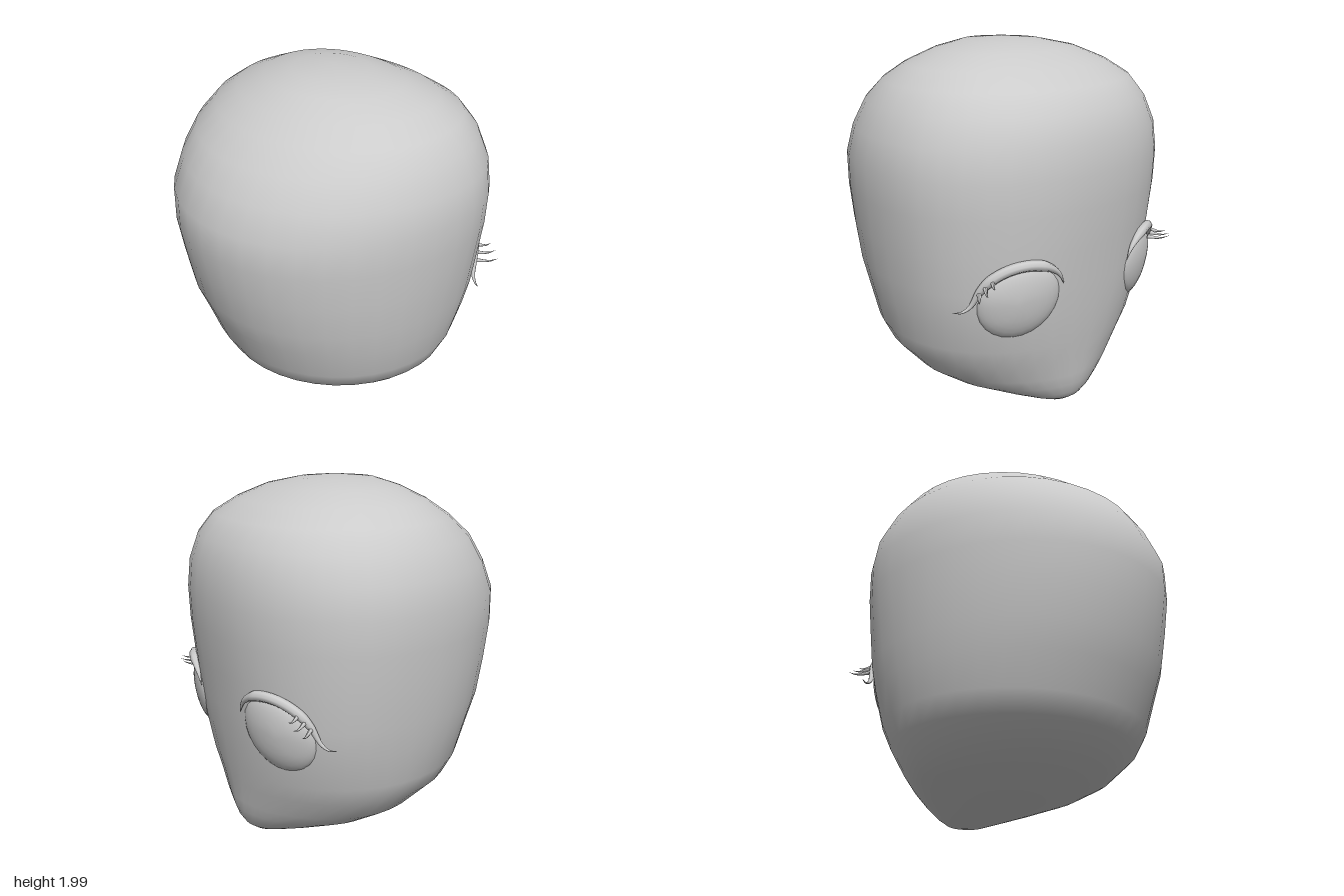
import * as THREE from 'three';

const grey = new THREE.MeshStandardMaterial({ color: 0xcccccc });
const greyDouble = new THREE.MeshStandardMaterial({ color: 0xcccccc, side: THREE.DoubleSide });

// Head cross-sections: height, half width, +z end, -z end (face), z of widest point, face roundness
const SECTIONS = [
  [0.01, 0, -0.53, -0.53, -0.53, 2], [0.025, 0.11, -0.42, -0.62, -0.52, 2],
  [0.055, 0.2, -0.25, -0.66, -0.46, 1.9], [0.1, 0.33, 0, -0.69, -0.37, 1.8],
  [0.16, 0.49, 0.22, -0.71, -0.25, 1.75], [0.23, 0.6, 0.41, -0.725, -0.17, 1.8],
  [0.35, 0.7, 0.58, -0.74, -0.12, 1.95], [0.46, 0.75, 0.64, -0.76, -0.1, 2.1],
  [0.65, 0.79, 0.71, -0.785, -0.1, 2.25], [0.8, 0.82, 0.77, -0.80, -0.1, 2.3],
  [1.0, 0.845, 0.81, -0.82, -0.11, 2.25], [1.2, 0.865, 0.845, -0.84, -0.13, 2.2],
  [1.38, 0.87, 0.84, -0.845, -0.13, 2.2], [1.54, 0.845, 0.765, -0.83, -0.13, 2.2],
  [1.68, 0.78, 0.675, -0.785, -0.12, 2.2], [1.79, 0.7, 0.54, -0.7, -0.11, 2.2],
  [1.87, 0.58, 0.42, -0.57, -0.1, 2.2], [1.94, 0.41, 0.28, -0.41, -0.09, 2.2],
  [1.98, 0.22, 0.16, -0.26, -0.07, 2], [2.0, 0, -0.06, -0.06, -0.06, 2],
];

function sectionAt(y) {
  let i = 0;
  while (i < SECTIONS.length - 2 && SECTIONS[i + 1][0] < y) i++;
  const a = SECTIONS[i], b = SECTIONS[i + 1];
  const t = (y - a[0]) / (b[0] - a[0]);
  return a.map((v, k) => v + (b[k] - v) * t);
}

// Point on the head; angle 0 is the middle of the face, positive towards +x
function headPoint(angle, y, lift = 0, section = sectionAt(y)) {
  const [, w, zFront, zBack, zMid, n] = section;
  const s = Math.sin(angle), c = Math.cos(angle);
  const e = c > 0 ? 2 / n : 1;
  const x = w * Math.sign(s) * Math.abs(s) ** e;
  const z = c > 0 ? zMid + (zBack - zMid) * c ** e : zMid + (zFront - zMid) * -c;
  return new THREE.Vector3(x + s * lift, y, z - c * lift);
}

function loftHead() {
  const N = 40, pos = [], idx = [], last = SECTIONS.length - 1;
  SECTIONS.forEach((sec) => {
    for (let j = 0; j < N; j++) pos.push(...headPoint((j / N) * Math.PI * 2, sec[0], 0, sec).toArray());
  });
  // each end row shares a single pole vertex
  const id = (i, j) => i * N + (i === 0 || i === last ? 0 : j % N);
  for (let i = 0; i < last; i++) {
    for (let j = 0; j < N; j++) {
      const a = id(i, j), b = id(i, j + 1), c = id(i + 1, j + 1), d = id(i + 1, j);
      if (i > 0) idx.push(a, d, b);
      if (i < last - 1) idx.push(b, d, c);
      if (i === 0) idx.push(a, d, c);
      if (i === last - 1) idx.push(a, d, b);
    }
  }
  return buildGeometry(pos, idx);
}

function buildGeometry(pos, idx) {
  const g = new THREE.BufferGeometry();
  g.setAttribute('position', new THREE.Float32BufferAttribute(pos, 3));
  g.setIndex(idx);
  g.computeVertexNormals();
  return g;
}

// Eye outline wrapped on the face; the top leans towards the middle
function eyePoint(phi, r, lift) {
  const dy = 0.2 * r * Math.sin(phi);
  return headPoint(0.57 + 0.3 * r * Math.cos(phi) - 0.3 * dy, 0.755 + dy, lift);
}

function eyeDome() {
  const N = 24, R = 7, pos = eyePoint(0, 0, 0.04).toArray(), idx = [];
  for (let i = 1; i <= R; i++) {
    const r = Math.sin((i / R) * Math.PI / 2);
    for (let j = 0; j < N; j++) {
      pos.push(...eyePoint((j / N) * Math.PI * 2, r, -0.012 + 0.052 * Math.sqrt(Math.max(0, 1 - r * r))).toArray());
    }
  }
  const id = (i, j) => (i === 0 ? 0 : 1 + (i - 1) * N + (j % N));
  for (let i = 0; i < R; i++) {
    for (let j = 0; j < N; j++) {
      idx.push(id(i, j), id(i + 1, j + 1), id(i + 1, j));
      if (i > 0) idx.push(id(i, j), id(i, j + 1), id(i + 1, j + 1));
    }
  }
  return buildGeometry(pos, idx);
}

// Tube whose radius follows a rule along its length
function taperedTube(points, radius, segments, scaleAt) {
  const curve = new THREE.CatmullRomCurve3(points);
  const g = new THREE.TubeGeometry(curve, segments, radius, 8);
  const p = g.attributes.position, v = new THREE.Vector3();
  for (let i = 0; i <= segments; i++) {
    const centre = curve.getPointAt(i / segments), k = scaleAt(i / segments);
    for (let j = 0; j <= 8; j++) {
      v.fromBufferAttribute(p, i * 9 + j).sub(centre).multiplyScalar(k).add(centre);
      p.setXYZ(i * 9 + j, v.x, v.y, v.z);
    }
  }
  g.computeVertexNormals();
  return g;
}

function named(name, geometry, material = greyDouble) {
  const m = new THREE.Mesh(geometry, material);
  m.name = name;
  return m;
}

function createEye() {
  const eye = new THREE.Group();
  eye.add(named('eyeball', eyeDome()));

  // Upper lid follows the outline, then sweeps out into a wing
  const path = [];
  for (let k = 0; k <= 8; k++) path.push(eyePoint(2.75 - k * 0.29, 1.06, 0.012));
  path.push(headPoint(0.91, 0.755, 0.025), headPoint(0.97, 0.73, 0.045), headPoint(1.02, 0.735, 0.06));
  eye.add(named('upperLid', taperedTube(path, 0.028, 40,
    (t) => 0.04 + 0.96 * Math.min(1, t * 4, (1 - t) * 2.8))));

  // Three curved lashes at the outer upper corner
  const tips = [[0.74, 0.84, -0.71], [0.7, 0.87, -0.735], [0.66, 0.9, -0.74]];
  tips.forEach((tip, k) => {
    const base = eyePoint(0.38 + k * 0.2, 1.05, 0.01);
    const end = new THREE.Vector3(...tip);
    const mid = base.clone().lerp(end, 0.55).add(new THREE.Vector3(0.012, -0.012, -0.014));
    eye.add(named('lash', taperedTube([base, mid, end], 0.014, 10, (t) => 1.02 - t)));
  });
  return eye;
}

export function createModel() {
  const model = new THREE.Group();
  model.name = 'head';
  model.add(named('skull', loftHead(), grey));
  for (const side of [1, -1]) {
    const eye = createEye();
    eye.name = side > 0 ? 'leftEye' : 'rightEye';
    eye.scale.x = side;
    model.add(eye);
  }
  return model;
}
